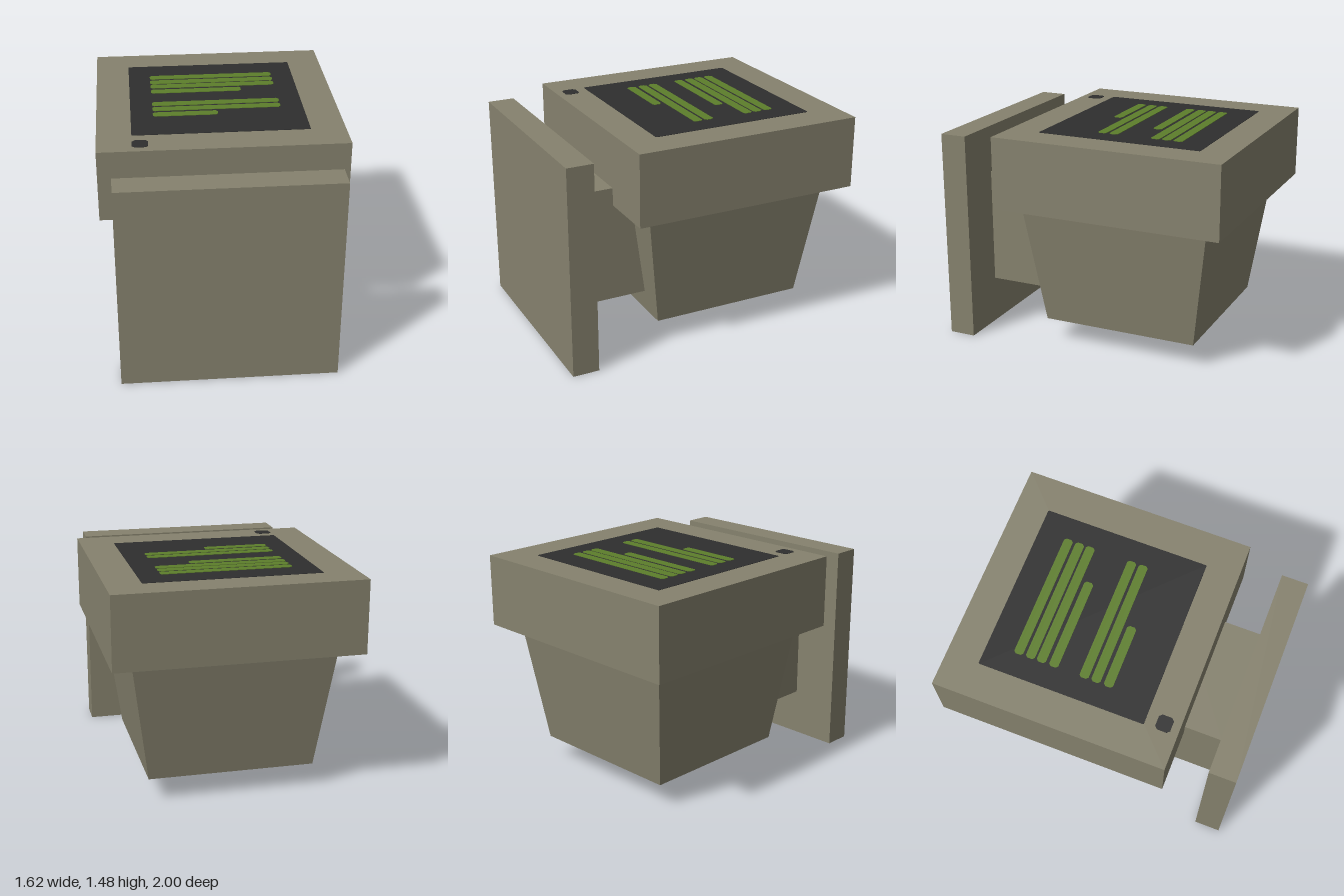
import * as THREE from 'three';

function material(name, color) {
  const m = new THREE.MeshStandardMaterial({ color });
  m.name = name;
  return m;
}

export function createModel() {
  const casing = material('casing beige', 0x86826e);
  const dark = material('screen black', 0x2e2e2e);
  const green = material('text green', 0x5d7e2b);

  const model = new THREE.Group();
  model.name = 'monitor';

  function add(name, geometry, mat) {
    const mesh = new THREE.Mesh(geometry, mat);
    mesh.name = name;
    model.add(mesh);
    return mesh;
  }

  // Box given by its extents on each axis
  function box(name, [x0, x1], [y0, y1], [z0, z1]) {
    const mesh = add(name, new THREE.BoxGeometry(x1 - x0, y1 - y0, z1 - z0), casing);
    mesh.position.set((x0 + x1) / 2, (y0 + y1) / 2, (z0 + z1) / 2);
    return mesh;
  }

  // Thin plate lying on the screen side, with clipped corners
  function plate(name, [x0, x1], [z0, z1], y, clip, mat) {
    const c = clip;
    const shape = new THREE.Shape([
      [x0 + c, -z1], [x1 - c, -z1], [x1, -z1 + c], [x1, -z0 - c],
      [x1 - c, -z0], [x0 + c, -z0], [x0, -z0 - c], [x0, -z1 + c],
    ].map(([x, v]) => new THREE.Vector2(x, v)));
    const geometry = new THREE.ExtrudeGeometry(shape, { depth: 0.003, bevelEnabled: false });
    geometry.rotateX(-Math.PI / 2);
    add(name, geometry, mat).position.y = y;
  }

  // Stand and front frame
  box('standBase', [-0.715, 0.715], [0, 1.43], [0.82, 1]);
  box('standNeck', [-0.395, 0.4], [0.32, 1.11], [0.25, 0.82]);
  box('screenFrame', [-0.81, 0.81], [0.99, 1.477], [-1, 0.563]);

  // Tapered rear housing: narrow the lower end of a box
  const housing = new THREE.BoxGeometry(1.34, 0.83, 1.3);
  const p = housing.attributes.position;
  for (let i = 0; i < p.count; i++) {
    if (p.getY(i) < 0) {
      p.setX(i, Math.sign(p.getX(i)) * 0.555);
      p.setZ(i, Math.sign(p.getZ(i)) * 0.535);
    }
  }
  housing.computeVertexNormals();
  add('rearHousing', housing, casing).position.set(0, 0.575, -0.217);

  // Screen, button and rows of glowing bars
  const top = 1.476;
  plate('screen', [-0.583, 0.58], [-0.78, 0.34], top, 0.005, dark);
  plate('powerButton', [-0.583, -0.48], [0.41, 0.51], top, 0.018, dark);
  const rows = [
    [-0.57, 0.43], [-0.49, 0.43], [-0.415, 0.43], [-0.33, 0.19],
    [-0.123, 0.43], [-0.043, 0.43], [0.042, 0],
  ];
  rows.forEach(([z, end], i) => {
    plate('textBar' + (i + 1), [-0.435, end], [z - 0.031, z + 0.031], top + 0.003, 0.014, green);
  });

  return model;
}
